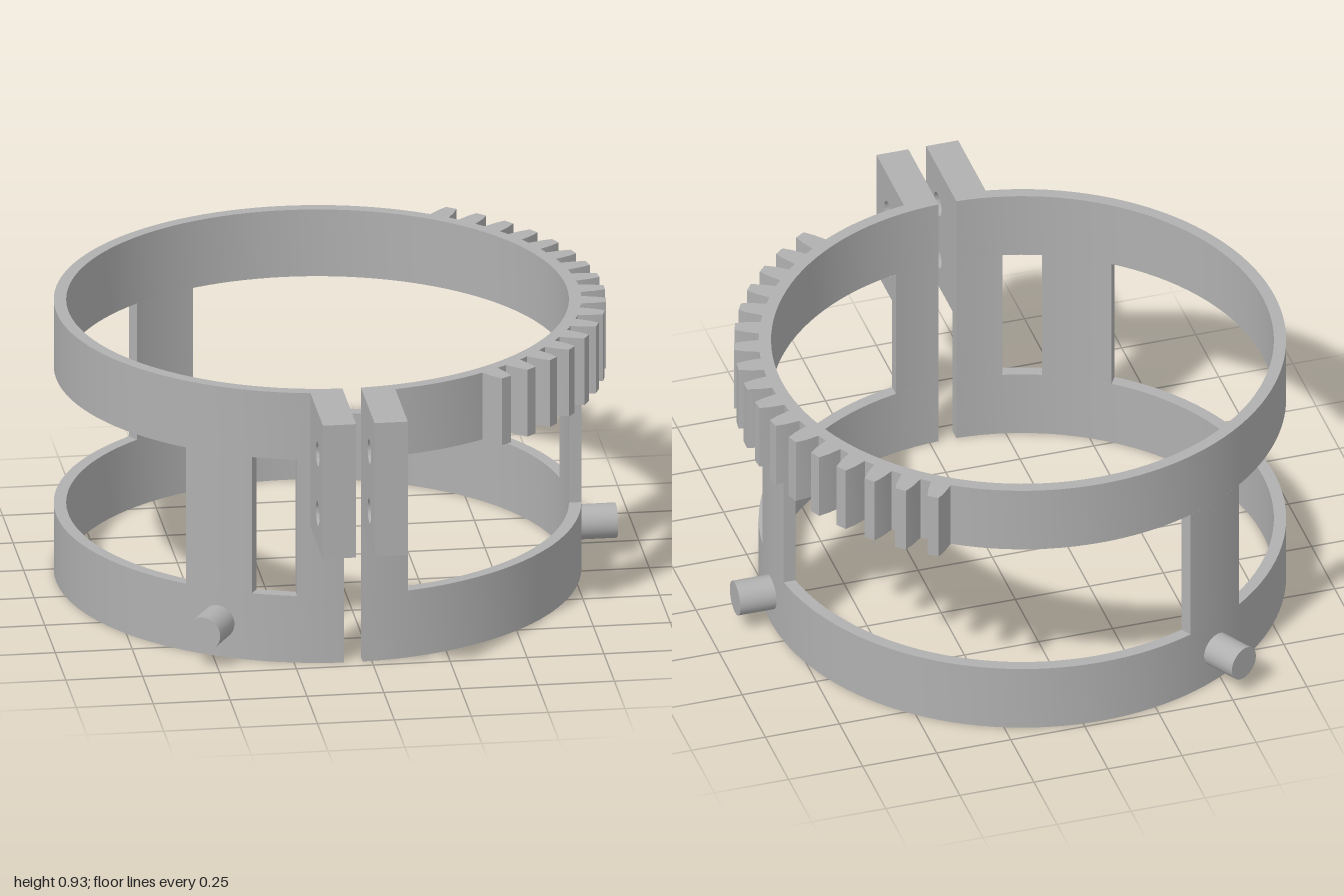
import * as THREE from 'three';
import { toCreasedNormals } from 'three/addons/utils/BufferGeometryUtils.js';

const OUTER = 0.85, INNER = 0.81;      // ring radii
const LOW = 0.23, HIGH = 0.70, TOP = 0.93; // band heights
const FRONT = Math.PI / 2;             // plan angle of the clamp gap
const GAP = 0.03;                      // half width of the gap

export function createModel() {
  const grey = new THREE.MeshStandardMaterial({ color: 0xb0b0b0 });
  grey.name = 'grey';
  const model = new THREE.Group();
  model.name = 'clampRing';
  // everything is built around the ring axis
  const body = new THREE.Group();
  body.name = 'body';
  body.position.set(-0.06, 0, -0.135);
  model.add(body);

  const add = (name, geometry, parent = body) => {
    const mesh = new THREE.Mesh(geometry, grey);
    mesh.name = name;
    parent.add(mesh);
    return mesh;
  };

  // plan shape (x, z) raised between two heights
  const raise = (shape, y0, y1, curveSegments = 12) => {
    const g = new THREE.ExtrudeGeometry(shape, { depth: y1 - y0, bevelEnabled: false, curveSegments });
    g.rotateX(Math.PI / 2).translate(0, y1, 0);
    return toCreasedNormals(g, 0.4);
  };

  // piece of the ring wall whose ends are cut parallel to a radius, at a sideways offset
  const wall = (c0, off0, c1, off1, y0, y1, segments) => {
    const s = new THREE.Shape();
    const start = r => c0 + Math.asin(off0 / r), end = r => c1 + Math.asin(off1 / r);
    s.absarc(0, 0, OUTER, start(OUTER), end(OUTER), false);
    s.absarc(0, 0, INNER, end(INNER), start(INNER), true);
    s.closePath();
    return raise(s, y0, y1, segments);
  };

  // two split bands
  const lap = FRONT + Math.PI * 2;
  add('lowerBand', wall(FRONT, GAP, lap, -GAP, 0, LOW, 60));
  add('upperBand', wall(FRONT, GAP, lap, -GAP, HIGH, TOP, 60));

  // three posts, each with a round peg at its foot
  for (let i = 0; i < 3; i++) {
    const a = i * Math.PI * 2 / 3;
    add('post', wall(a, -0.115, a, 0.115, LOW, HIGH, 6));
    const peg = new THREE.CylinderGeometry(0.057, 0.057, 0.14, 32);
    peg.rotateZ(Math.PI / 2).translate(0.9, 0.118, 0).rotateY(-a);
    add('peg', peg);
  }

  // narrow posts either side of the gap
  add('gapPostRight', wall(FRONT, GAP, FRONT, 0.18, LOW, HIGH, 5));
  add('gapPostLeft', wall(FRONT, -0.18, FRONT, -GAP, LOW, HIGH, 5));

  // clamp lugs with two bolt holes
  const lug = new THREE.Shape();
  lug.moveTo(0.82, 0.47);
  lug.lineTo(1.135, 0.47);
  lug.lineTo(1.135, TOP);
  lug.lineTo(0.82, TOP);
  lug.closePath();
  for (const y of [0.58, 0.785]) {
    const hole = new THREE.Path();
    hole.absarc(1.01, y, 0.04, 0, Math.PI * 2, true);
    lug.holes.push(hole);
  }
  const lugGeometry = toCreasedNormals(
    new THREE.ExtrudeGeometry(lug, { depth: 0.108, bevelEnabled: false, curveSegments: 16 })
      .rotateY(-Math.PI / 2), 0.5);
  add('lugRight', lugGeometry).position.x = -GAP;
  add('lugLeft', lugGeometry).position.x = GAP + 0.108;

  // gear teeth along the left side of the upper band
  const tooth = new THREE.Shape([
    [0.838, -0.034], [0.853, -0.033], [0.895, -0.028], [0.93, -0.019],
    [0.93, 0.019], [0.895, 0.028], [0.853, 0.033], [0.838, 0.034],
  ].map(p => new THREE.Vector2(...p)));
  const toothGeometry = raise(tooth, HIGH, TOP);
  const rack = new THREE.Group();
  rack.name = 'gearTeeth';
  body.add(rack);
  for (let i = -8; i <= 8; i++) {
    add('tooth', toothGeometry, rack).rotation.y = -THREE.MathUtils.degToRad(1.15 + i * 6.97);
  }

  return model;
}
